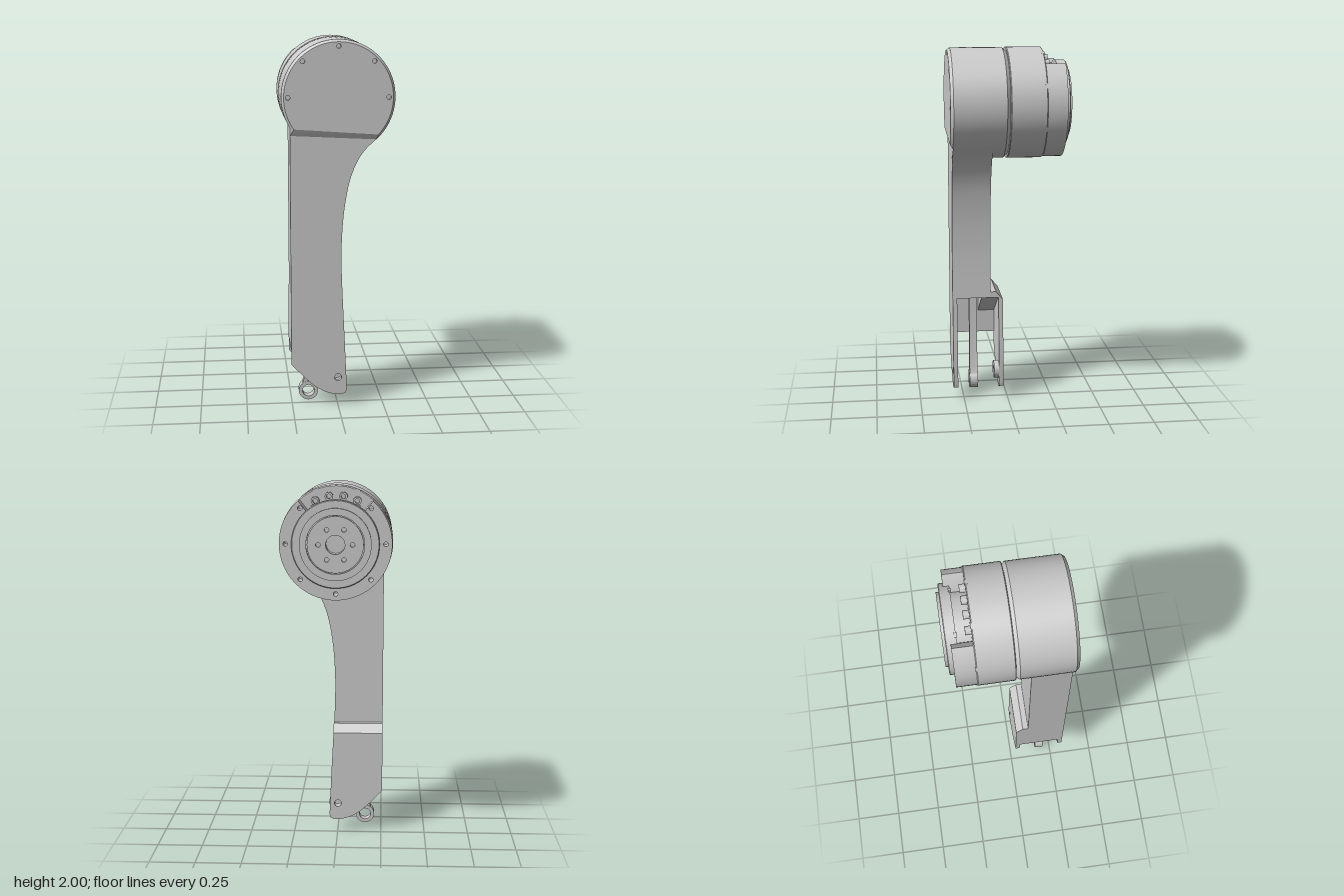
import * as THREE from 'three';
import { toCreasedNormals } from 'three/addons/utils/BufferGeometryUtils.js';

const CY = 1.7; // height of the joint axis
const LEFT = -0.255; // straight edge of the arm
const rad = THREE.MathUtils.degToRad;

export function createModel() {
  const model = new THREE.Group();
  const material = new THREE.MeshStandardMaterial({ color: 0xcccccc });

  const add = (name, geometry, parent = model) => {
    const mesh = new THREE.Mesh(toCreasedNormals(geometry, rad(28)), material);
    mesh.name = name;
    parent.add(mesh);
    return mesh;
  };
  const group = (name, y = 0) => {
    const g = new THREE.Group();
    g.name = name;
    g.position.y = y;
    model.add(g);
    return g;
  };
  // Extrudes an xy shape between two depths
  const slab = (shape, z0, z1) => {
    const g = new THREE.ExtrudeGeometry(shape, { depth: z1 - z0, bevelEnabled: false, curveSegments: 32 });
    return g.translate(0, 0, z0);
  };
  // Turns [radius, z] points (z rising) about the joint axis
  const turned = (points) =>
    new THREE.LatheGeometry(points.map(([r, z]) => new THREE.Vector2(r, z)), 72).rotateX(Math.PI / 2);
  const polygon = (pts) => new THREE.Shape(pts.map(([x, y]) => new THREE.Vector2(x, y)));
  const hole = (shape, x, y, r) => shape.holes.push(new THREE.Path().absarc(x, y, r, 0, Math.PI * 2, true));
  const disc = (r) => new THREE.Shape().absarc(0, 0, r, 0, Math.PI * 2, false);
  const polar = (r, deg) => [r * Math.cos(rad(deg)), r * Math.sin(rad(deg))];
  const curve = (pts, n) =>
    new THREE.CatmullRomCurve3(pts.map(([x, y]) => new THREE.Vector3(x, y, 0)))
      .getPoints(n).map((p) => [p.x, p.y]);

  // ---- Joint housing
  const head = group('jointHousing', CY);
  add('frontDrum', turned([[0, 0], [0.283, 0.01], [0.3, 0.03], [0.3, 0.308], [0, 0.308]]), head);
  add('rearDrum', turned([[0, -0.185], [0.296, -0.185], [0.302, -0.18], [0.302, 0.007], [0.299, 0.011], [0, 0.011]]), head);

  // Front cover with a chamfered rim and five screw holes
  const inner = [], outer = [];
  for (let i = 0; i <= 60; i++) {
    inner.push(polar(0.287, -43 + (258 * i) / 60));
    outer.push(polar(0.3, -48 + (260 * i) / 60));
  }
  const cover = polygon(inner);
  for (let a = 0; a <= 180; a += 45) hole(cover, ...polar(0.265, a), 0.012);
  add('frontCover', slab(cover, 0.309, 0.328), head);
  inner.push(inner[60]);
  outer.push([LEFT, -0.2]);
  const strip = [];
  inner.forEach((p, i) => {
    const j = (i + 1) % inner.length;
    const a = [...outer[i], 0.312], b = [...outer[j], 0.312];
    const c = [...inner[j], 0.328], d = [...p, 0.328];
    strip.push(...a, ...b, ...c, ...a, ...c, ...d);
  });
  const rimGeometry = new THREE.BufferGeometry();
  rimGeometry.setAttribute('position', new THREE.Float32BufferAttribute(strip, 3));
  add('frontCoverChamfer', rimGeometry, head);
  add('frontDrumEdge', turned([[0.3, 0.3], [0.3, 0.312]]), head);

  // Rear rim, open at the top, with bolt holes
  const rim = new THREE.Shape();
  rim.absarc(0, 0, 0.297, rad(131), rad(409), false);
  rim.lineTo(...polar(0.224, 48));
  rim.absarc(0, 0, 0.185, rad(44), rad(136), true);
  rim.lineTo(...polar(0.224, 132));
  for (let a = 135; a <= 405; a += 45) hole(rim, ...polar(0.263, a), 0.012);
  add('rearRim', slab(rim, -0.291, -0.18), head);

  // Output hub, its grooved face and bolt circle
  add('outputHub', turned([[0, -0.27], [0.05, -0.27], [0.05, -0.316], [0.227, -0.316], [0.231, -0.312],
    [0.231, -0.26], [0.19, -0.26], [0.19, -0.18]]), head);
  const ring = disc(0.189);
  hole(ring, 0, 0, 0.153);
  add('outputRing', slab(ring, -0.33, -0.315), head);
  const flange = disc(0.148);
  hole(flange, 0, 0, 0.05);
  for (let a = 0; a < 360; a += 60) hole(flange, ...polar(0.09, a), 0.012);
  add('outputFlange', slab(flange, -0.33, -0.315), head);

  // Ports in the open notch
  for (const a of [63, 81, 99, 117]) {
    const port = disc(0.022);
    hole(port, 0, 0, 0.012);
    const mesh = add('port', slab(port, -0.215, -0.18), head);
    mesh.position.set(...polar(0.245, a), 0);
  }
  // Clips around the rear drum and on the hub
  for (let a = 22.5; a < 360; a += 45) {
    const clip = add('drumClip', new THREE.BoxGeometry(0.012, 0.03, 0.016), head);
    clip.position.set(...polar(0.296, a), -0.18);
    clip.rotation.z = rad(a);
  }
  for (const s of [-1, 1]) {
    const clip = add('hubClip', new THREE.BoxGeometry(0.025, 0.012, 0.014), head);
    clip.position.set(s * 0.118, 0.198, -0.262);
    clip.rotation.z = -s * rad(30);
  }

  // ---- Arm
  const arm = group('arm');
  const upperEdge = curve([[0.215, 1.492], [0.125, 1.4], [0.068, 1.28], [0.032, 1.1],
    [0.018, 0.9], [0.019, 0.75], [0.025, 0.6]], 36);
  add('armBody', slab(polygon([[LEFT, 1.54], [0, CY], ...upperEdge, [LEFT, 0.6]].reverse()), 0.095, 0.31), arm);

  // Fork plates share one outline with a pivot hole
  const plate = polygon([[LEFT, 0.6], [LEFT, 0.245],
    ...curve([[-0.18, 0.165], [-0.12, 0.112], [-0.05, 0.077], [0.015, 0.067], [0.043, 0.078]], 14),
    [0.048, 0.1], [0.037, 0.35], [0.025, 0.6]]);
  hole(plate, 0, 0.165, 0.02);
  add('frontForkPlate', slab(plate, 0.285, 0.31), arm);
  const rear = plate.clone();
  add('rearForkPlate', slab(rear, 0.025, 0.05).applyMatrix4(
    new THREE.Matrix4().makeScale(1, 1, 1)), arm);
  // Trim the rear plate's top to meet the shoulder
  const rearMesh = arm.children[arm.children.length - 1];
  const rp = rearMesh.geometry.attributes.position;
  for (let i = 0; i < rp.count; i++) if (rp.getY(i) > 0.585) rp.setY(i, 0.585);

  // Sloped shoulder where the fork widens: drawn in (-z, y), run along x
  const shoulder = slab(polygon([[-0.1, 0.6], [-0.05, 0.6], [-0.05, 0.58], [-0.025, 0.58], [-0.025, 0.587],
    [-0.064, 0.634], [-0.1, 0.634]]), LEFT, 0.025);
  add('forkShoulder', shoulder.rotateY(Math.PI / 2), arm);

  // Side web and sloped stop inside the fork
  add('forkWeb', new THREE.BoxGeometry(0.025, 0.28, 0.25).translate(LEFT + 0.0125, 0.46, 0.165), arm);
  add('forkStop', slab(polygon([[-0.24, 0.445], [0.01, 0.601], [-0.24, 0.601]]), 0.045, 0.145), arm);
  const boss = disc(0.05);
  hole(boss, 0, 0, 0.02);
  add('pivotBoss', slab(boss, 0.05, 0.078).translate(0, 0.165, 0), arm);

  // ---- Push rod with an eye end
  const rod = group('pushRod');
  const eye = disc(0.053);
  hole(eye, 0, 0, 0.033);
  add('rodEye', slab(eye, 0.157, 0.206).translate(-0.156, 0.056, 0), rod);
  add('rodStem', slab(polygon([[-0.19, 0.093], [-0.156, 0.1], [-0.12, 0.093], [-0.135, 0.135], [-0.135, 0.61],
    [-0.178, 0.61], [-0.178, 0.135]]), 0.159, 0.204), rod);

  return model;
}
